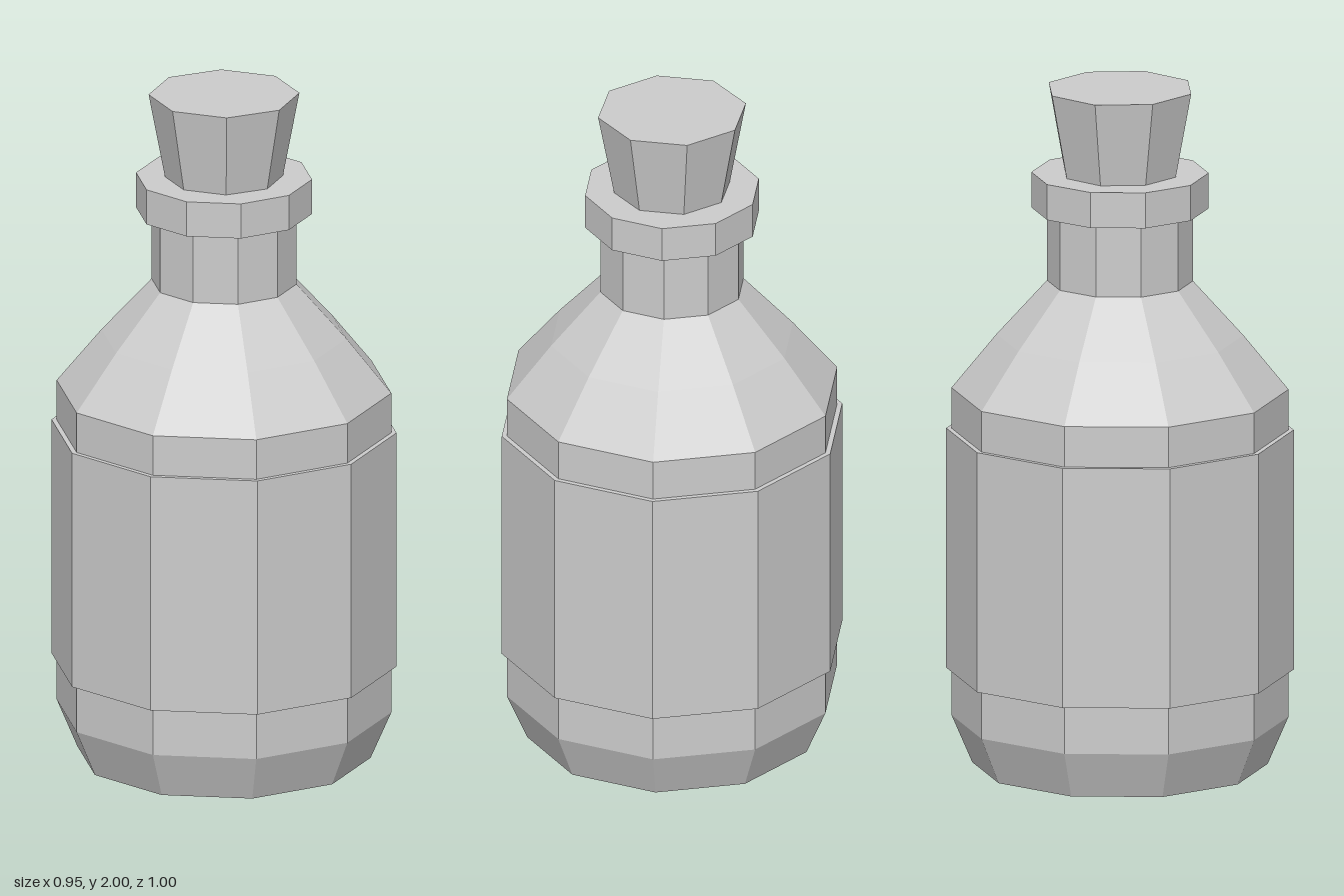
import * as THREE from 'three';

const glass = new THREE.MeshStandardMaterial({ color: 0xcccccc });
glass.name = 'pale grey';

// Faceted solid turned from [radius, height] points, listed bottom to top on the outside
function turned(name, sides, profile) {
  const points = profile.map(([r, y]) => new THREE.Vector2(r, y));
  const geometry = new THREE.LatheGeometry(points, sides).toNonIndexed();
  geometry.computeVertexNormals(); // one normal per face keeps the facets flat
  const mesh = new THREE.Mesh(geometry, glass);
  mesh.name = name;
  return mesh;
}

export function createModel() {
  const bottle = new THREE.Group();
  bottle.name = 'corkedBottle';

  // Ten-sided body with chamfered base, sloping shoulder and neck
  bottle.add(turned('body', 10, [
    [0, 0], [0.425, 0], [0.485, 0.14], [0.485, 1.11],
    [0.355, 1.27], [0.21, 1.43], [0.21, 1.645],
  ]));

  // Raised band wrapped around the body
  bottle.add(turned('label', 10, [
    [0.485, 0.28], [0.5, 0.28], [0.5, 0.99], [0.485, 0.99],
  ]));

  // Collar at the mouth
  bottle.add(turned('rim', 10, [
    [0.21, 1.645], [0.255, 1.645], [0.255, 1.75], [0, 1.75],
  ]));

  // Eight-sided tapered stopper
  bottle.add(turned('cork', 8, [
    [0.17, 1.75], [0.217, 2], [0, 2],
  ]));

  return bottle;
}
